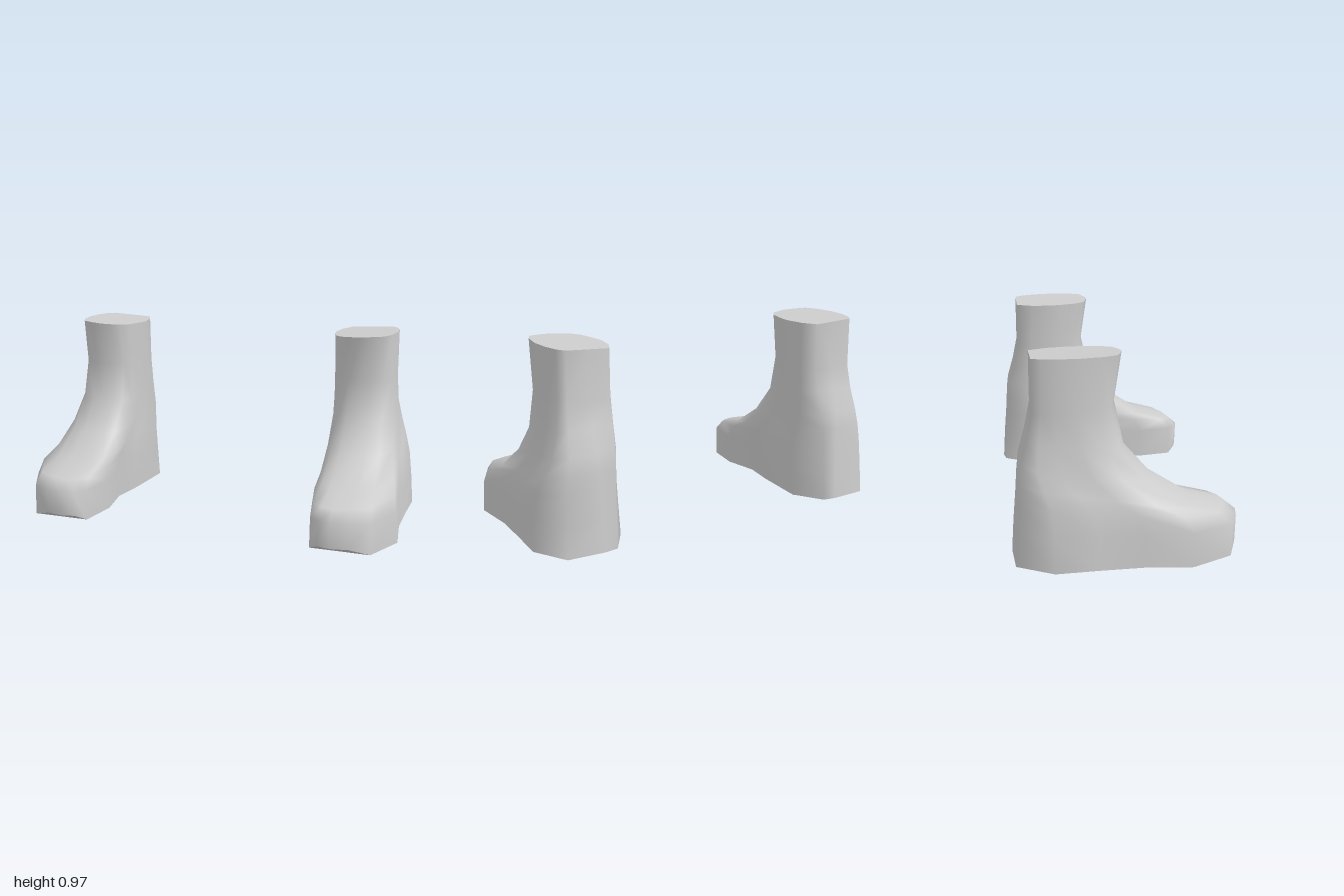
import * as THREE from 'three';

// Outline stations, from the toe tip round the outer side to the heel and back.
// [sole x, sole position, leg x, leg position]; position runs 0 = back to 1 = front.
const OUTLINE = [
  [0.71, 1.0, 0.72, 1.0], [0.80, 0.985, 0.78, 0.97], [0.90, 0.945, 0.84, 0.92],
  [1.0, 0.76, 0.87, 0.77], [0.975, 0.55, 0.887, 0.5], [0.98, 0.36, 0.88, 0.27],
  [0.99, 0.17, 0.86, 0.1], [0.89, 0.01, 0.83, 0.0], [0.70, 0.0, 0.72, 0.0],
  [0.63, 0.01, 0.61, 0.0], [0.535, 0.15, 0.57, 0.2], [0.565, 0.42, 0.555, 0.45],
  [0.595, 0.58, 0.565, 0.62], [0.565, 0.76, 0.585, 0.82], [0.60, 0.945, 0.62, 0.93],
  [0.65, 0.985, 0.665, 0.97],
];

// Tilted rings from sole to shin: front z, front y, back z, back y,
// blend from sole to leg, sideways slope.
const RINGS = [
  [0.535, 0.0, -0.54, 0.0, 0, 0],
  [0.54, 0.16, -0.53, 0.16, 0.1, 0],
  [0.48, 0.21, -0.518, 0.3, 0.22, 0],
  [0.31, 0.25, -0.512, 0.39, 0.42, 0],
  [0.12, 0.37, -0.5, 0.47, 0.65, 0],
  [-0.01, 0.52, -0.465, 0.59, 0.88, 0],
  [-0.055, 0.73, -0.44, 0.71, 1, 0],
  [-0.02, 0.962, -0.44, 0.955, 1, 0.05],
];

const N = OUTLINE.length;
const lerp = THREE.MathUtils.lerp;

function ringPoints([zf, yf, zb, yb, k, slope], side) {
  return OUTLINE.map(([sx, ss, lx, ls]) => {
    const s = lerp(ss, ls, k);
    const x = lerp(sx, lx, k);
    // the sole turns up slightly at the toe tip
    const lift = yf === 0 && s > 0.98 ? 0.03 : 0;
    return [side * x, lerp(yb, yf, s) + lift + slope * (x - 0.72), lerp(zb, zf, s)];
  });
}

function makeGeometry(points, quads, flip) {
  const index = [];
  for (const [a, b, c, d] of quads) {
    if (flip) index.push(a, c, b, a, d, c);
    else index.push(a, b, c, a, c, d);
  }
  const g = new THREE.BufferGeometry();
  g.setAttribute('position', new THREE.Float32BufferAttribute(points.flat(), 3));
  g.setIndex(index);
  g.computeVertexNormals();
  return g;
}

// Smooth skin joining all the rings
function skinGeometry(rings, side) {
  const quads = [];
  for (let i = 0; i < rings.length - 1; i++) {
    for (let j = 0; j < N; j++) {
      const a = i * N + j, b = i * N + (j + 1) % N;
      quads.push([a, b, b + N, a + N]);
    }
  }
  return makeGeometry(rings.flat(), quads, side < 0);
}

// Flat end closed with strips running across the outline
function capGeometry(ring, flip) {
  const quads = [];
  for (let j = 0; j < N / 2; j++) quads.push([j, j + 1, N - j - 1, (N - j) % N]);
  return makeGeometry(ring, quads, flip);
}

export function createModel() {
  const model = new THREE.Group();
  model.name = 'feet';
  const grey = new THREE.MeshStandardMaterial({ color: 0xcccccc });
  grey.name = 'light grey';

  for (const side of [1, -1]) {
    const foot = new THREE.Group();
    foot.name = side > 0 ? 'leftFoot' : 'rightFoot';
    const rings = RINGS.map((r) => ringPoints(r, side));
    const parts = {
      skin: skinGeometry(rings, side),
      sole: capGeometry(rings[0], side > 0),
      shinTop: capGeometry(rings[rings.length - 1], side < 0),
    };
    for (const [name, geometry] of Object.entries(parts)) {
      const mesh = new THREE.Mesh(geometry, grey);
      mesh.name = name;
      foot.add(mesh);
    }
    model.add(foot);
  }
  return model;
}
